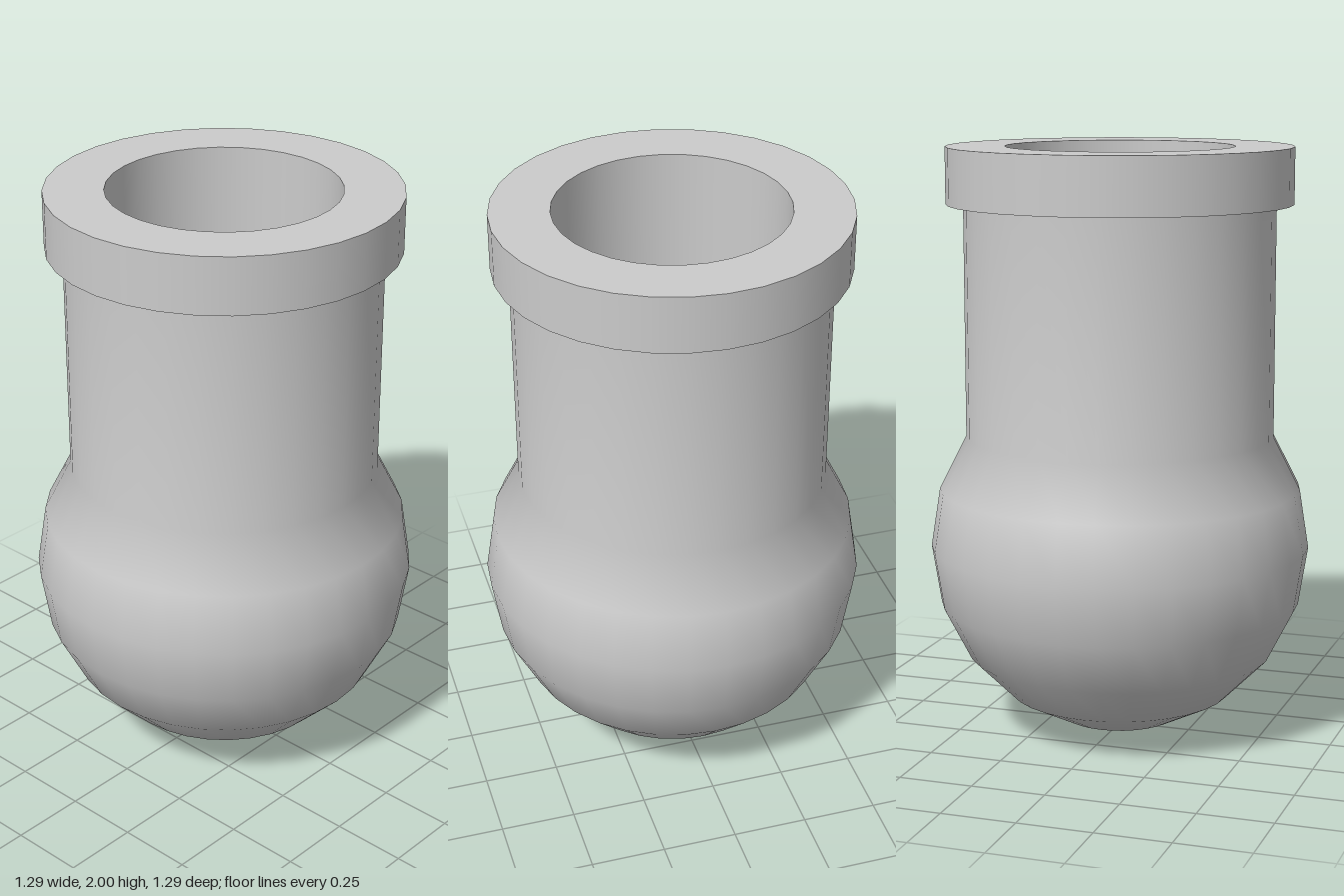
import * as THREE from 'three';

const SIDES = 32;

export function createModel() {
  const group = new THREE.Group();
  const material = new THREE.MeshStandardMaterial({ color: 0xcccccc });

  // Turns a profile of [radius, height] points around the y axis
  const turn = (name, profile) => {
    const points = profile.map(([r, y]) => new THREE.Vector2(r, y));
    const mesh = new THREE.Mesh(new THREE.LatheGeometry(points, SIDES), material);
    mesh.name = name;
    group.add(mesh);
  };

  // Round bulb running smoothly up into the straight neck
  const radius = 0.645, centre = 0.65;
  const body = [];
  for (let i = 0; i <= 7; i++) {
    const a = (i * Math.PI) / 10;
    body.push([radius * Math.sin(a), i === 0 ? 0 : centre - radius * Math.cos(a)]);
  }
  const neck = body[7][0];
  body.push([neck, 1.81]);
  turn('bulbAndNeck', body);

  // Collar around the mouth: underside, outer wall and top rim, each with sharp edges
  const collar = 0.58, bore = 0.383, floor = 1.03;
  turn('collarUnderside', [[neck, 1.81], [collar, 1.81]]);
  turn('collarWall', [[collar, 1.81], [collar, 2]]);
  turn('collarRim', [[collar, 2], [bore, 2]]);

  // Straight bore with a flat floor
  turn('boreWall', [[bore, 2], [bore, floor]]);
  turn('boreFloor', [[bore, floor], [0, floor]]);

  return group;
}
